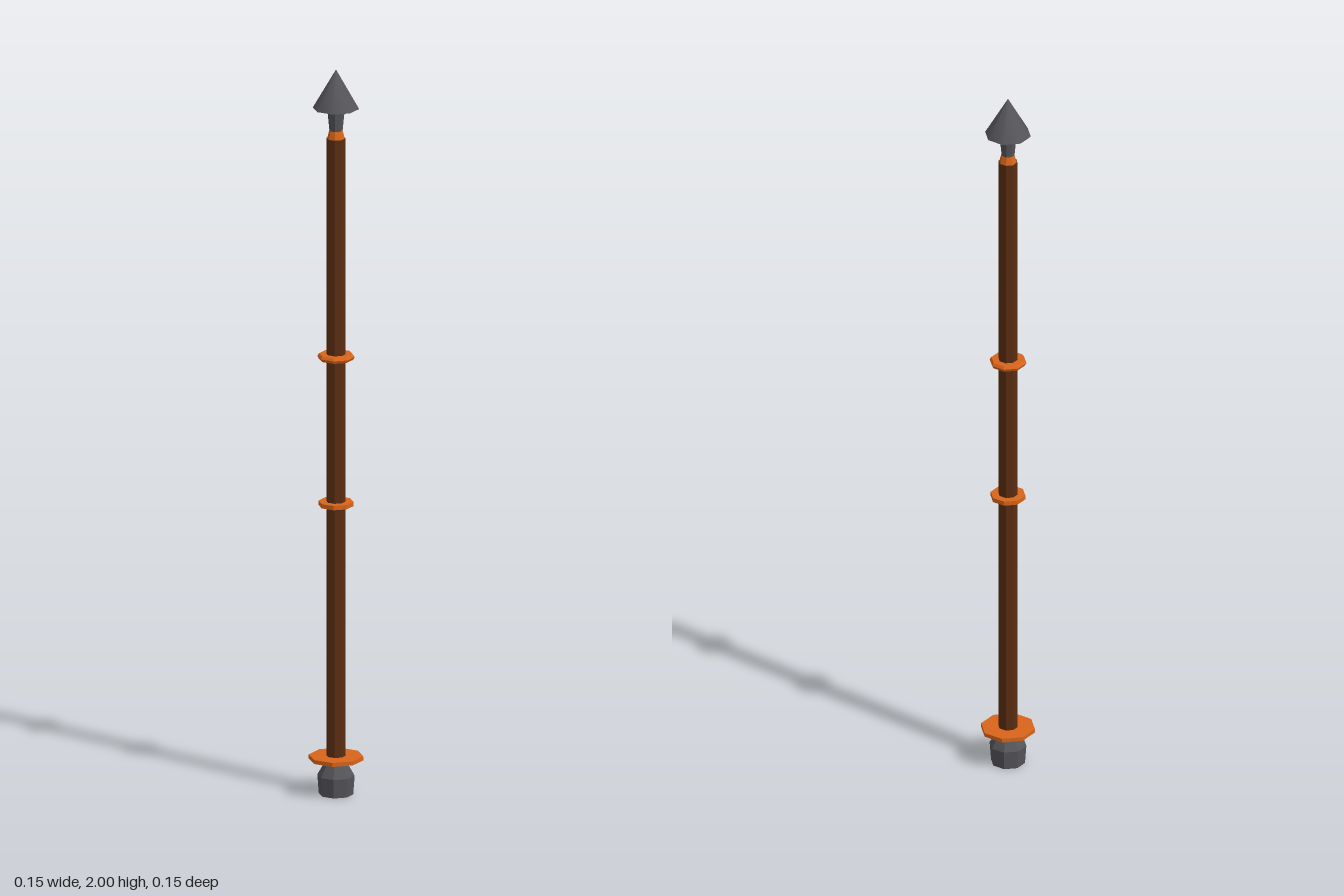
import * as THREE from 'three';

const SIDES = 8;

export function createModel() {
  const model = new THREE.Group();
  const material = (color, flatShading = true) => new THREE.MeshStandardMaterial({ color, flatShading });
  const wood = material(0x5a2d12);
  const copper = material(0xd9651a);
  const iron = material(0x55555a);
  const smoothIron = material(0x55555a, false);

  // An eight-sided tapered section standing between two heights
  function section(name, y0, y1, r0, r1, mat) {
    const mesh = new THREE.Mesh(new THREE.CylinderGeometry(r1, r0, y1 - y0, SIDES), mat);
    mesh.position.y = (y0 + y1) / 2;
    mesh.name = name;
    model.add(mesh);
  }

  section('shaft', 0.09, 1.81, 0.026, 0.026, wood);

  // Pointed head on its socket and collar
  section('collar', 1.808, 1.832, 0.024, 0.018, copper);
  section('headSocket', 1.825, 1.895, 0.017, 0.024, iron);
  section('spearhead', 1.893, 2, 0.062, 0, smoothIron);

  // Rings around the shaft, with slightly bevelled rims
  section('upperRing', 1.2, 1.208, 0.046, 0.05, copper);
  section('upperRingRim', 1.208, 1.215, 0.05, 0.045, copper);
  section('lowerRing', 0.796, 0.808, 0.047, 0.047, copper);
  section('guardRing', 0.095, 0.106, 0.073, 0.073, copper);

  // Butt cap: a short drum narrowing toward the guard
  section('buttCap', 0, 0.052, 0.046, 0.05, iron);
  section('buttCapShoulder', 0.052, 0.097, 0.05, 0.024, iron);

  return model;
}
